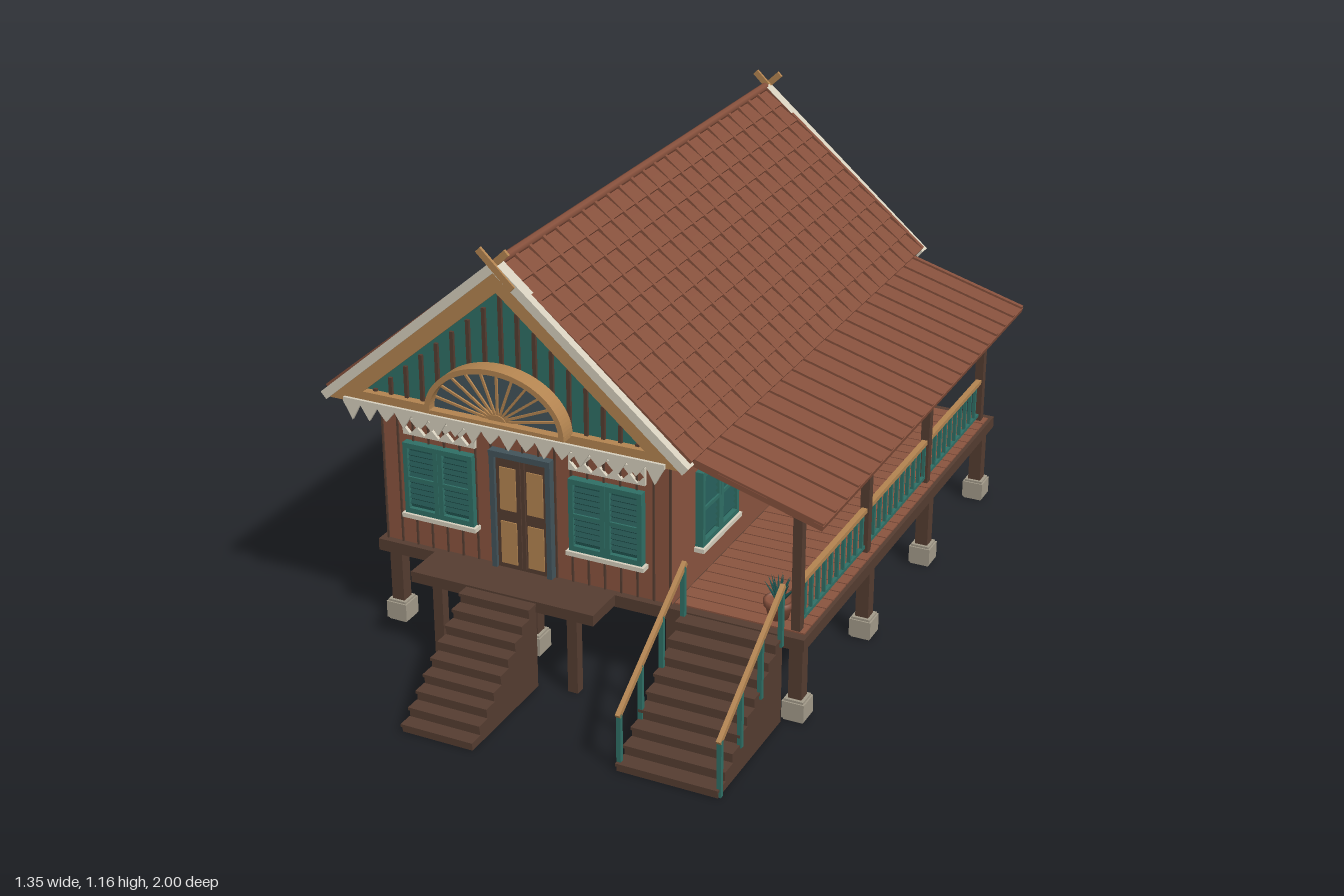
import * as THREE from 'three';

const mat = (name, color) => new THREE.MeshStandardMaterial({ name, color });
const M = {
  roof: mat('roof tile', 0x86503c), wall: mat('wall timber', 0x8a543f), dark: mat('dark wood', 0x553d31),
  tan: mat('honey wood', 0xb38450), teal: mat('teal paint', 0x2f6f66), deep: mat('deep teal', 0x1f524e),
  cream: mat('cream paint', 0xd6cfbd), stone: mat('stone', 0xa39b8a), slate: mat('slate', 0x42535a),
};
const CX = -0.16, ZC = -0.164, HW = 0.415, HL = 0.694; // house centre and half sizes
const FLOOR = 0.245;

function add(parent, name, geo, m, x = 0, y = 0, z = 0) {
  const mesh = new THREE.Mesh(geo, m);
  mesh.name = name;
  mesh.position.set(x, y, z);
  parent.add(mesh);
  return mesh;
}
// box by centre and size
const box = (p, name, m, x, y, z, w, h, d) => add(p, name, new THREE.BoxGeometry(w, h, d), m, x, y, z);
// box by limits
const span = (p, name, m, x0, x1, y0, y1, z0, z1) =>
  box(p, name, m, (x0 + x1) / 2, (y0 + y1) / 2, (z0 + z1) / 2, x1 - x0, y1 - y0, z1 - z0);
// square bar between two points of the parent's space
function bar(p, name, m, a, b, w, h) {
  const A = new THREE.Vector3(...a), B = new THREE.Vector3(...b);
  const mesh = add(p, name, new THREE.BoxGeometry(w, h, A.distanceTo(B)), m);
  mesh.position.copy(A).add(B).multiplyScalar(0.5);
  mesh.quaternion.setFromRotationMatrix(new THREE.Matrix4().lookAt(B, A, new THREE.Vector3(0, 1, 0)));
}
function group(parent, name, x = 0, y = 0, z = 0, ry = 0) {
  const g = new THREE.Group();
  g.name = name;
  g.position.set(x, y, z);
  g.rotation.y = ry;
  parent.add(g);
  return g;
}
const vecs = pts => pts.map(q => new THREE.Vector2(...q));
const poly = pts => new THREE.Shape(vecs(pts));
const extrude = (shape, depth) => new THREE.ExtrudeGeometry(shape, { depth, bevelEnabled: false, curveSegments: 24 });

// Louvred window on a wall facing local +z
function windowUnit(p, u, w = 0.205, y0 = 0.345, y1 = 0.545, lattice = false) {
  const g = group(p, 'window', u), mid = (y0 + y1) / 2, h = y1 - y0, lw = w / 2;
  box(g, 'shutterBacking', M.deep, 0, mid, 0.005, w - 0.01, h - 0.01, 0.01);
  for (const s of [-1, 1]) {
    const cx = s * lw / 2;
    for (const e of [-1, 1]) {
      box(g, 'shutterStile', M.teal, cx + e * (lw / 2 - 0.007), mid, 0.011, 0.013, h, 0.022);
      box(g, 'shutterRail', M.teal, cx, mid + e * (h / 2 - 0.007), 0.011, lw - 0.02, 0.014, 0.022);
    }
    box(g, 'shutterMidRail', M.teal, cx, mid, 0.011, lw - 0.02, 0.01, 0.022);
    for (let i = 0; i < 10; i++) {
      const slat = box(g, 'louvre', M.deep, cx, y0 + 0.022 + (i + 0.5) * (h - 0.044) / 10, 0.012, lw - 0.024, 0.013, 0.004);
      slat.rotation.x = -0.7;
    }
  }
  box(g, 'sill', M.cream, 0, y0 - 0.007, 0.014, w + 0.014, 0.012, 0.028);
  if (!lattice) return;
  // vent panel pierced with diamonds above the window
  const n = 5, pw = 0.212, panel = poly([[-pw / 2, 0.564], [pw / 2, 0.564], [pw / 2, 0.612], [-pw / 2, 0.612]]);
  for (let i = 0; i < n; i++) {
    const x = (i + 0.5 - n / 2) * pw / n;
    panel.holes.push(new THREE.Path(vecs([[x - 0.019, 0.588], [x, 0.608], [x + 0.019, 0.588], [x, 0.568]])));
  }
  add(g, 'ventPanel', extrude(panel, 0.01), M.cream);
}

// Two-leaf panelled door on a wall facing local +z
function doorUnit(p, u, h = 0.325) {
  const g = group(p, 'door', u, FLOOR);
  box(g, 'doorLeaves', M.dark, 0, h / 2, 0.006, 0.15, h, 0.012);
  for (const s of [-1, 1]) {
    box(g, 'doorJamb', M.slate, s * 0.08, h / 2, 0.011, 0.014, h, 0.022);
    box(g, 'doorStile', M.dark, s * 0.006, h / 2, 0.008, 0.01, h - 0.02, 0.018);
    for (const k of [0.23, 0.7]) box(g, 'doorPanel', M.tan, s * 0.039, h * k, 0.011, 0.046, h * 0.37, 0.008);
  }
  box(g, 'doorHead', M.slate, 0, h, 0.012, 0.175, 0.016, 0.024);
}

// Vertical cover strips on a gable-end wall
function wallBoards(p) {
  for (let i = 0; i <= 18; i++)
    box(p, 'wallBatten', M.dark, (i / 9 - 1) * (HW - 0.003), 0.46, 0.002, 0.005, 0.43, 0.005);
}

// Decorated gable facing local +z; z = 0 is the roof centre
function gable(p, ry) {
  const g = group(p, 'gable', CX, 0, ZC, ry);
  add(g, 'gablePanel', extrude(poly([[-0.45, 0.69], [0.45, 0.69], [0, 1.075]]), 0.015), M.teal, 0, 0, 0.765);
  for (let i = -8; i <= 8; i++) {
    const x = i * 0.046, top = 1.035 - Math.abs(x) * 0.86;
    span(g, 'gableBatten', M.dark, x - 0.005, x + 0.005, 0.7, top, 0.778, 0.788);
  }
  const frame = poly([[-0.5, 0.678], [0.5, 0.678], [0, 1.108]]);
  frame.holes.push(new THREE.Path(vecs([[-0.395, 0.712], [0, 1.048], [0.395, 0.712]])));
  add(g, 'bargeFrame', extrude(frame, 0.022), M.tan, 0, 0, 0.78);
  for (const s of [-1, 1]) {
    bar(g, 'bargeEdge', M.cream, [0, 1.118, 0.796], [s * 0.507, 0.684, 0.796], 0.034, 0.024);
    const z = 0.81 + s * 0.004;
    bar(g, 'crossFinial', M.tan, [-s * 0.037, 1.158, z], [s * 0.055, 1.07, z], 0.008, 0.018);
  }
  // fan light
  const half = (rx, ry2) => new THREE.Shape().absellipse(0, 0, rx, ry2, 0, Math.PI, false, 0);
  const fan = group(g, 'fanLight', 0, 0.712, 0.79);
  add(fan, 'fanGlass', extrude(half(0.185, 0.137), 0.02), M.slate);
  const ring = half(0.195, 0.147).absellipse(0, 0, 0.181, 0.133, Math.PI, 0, true, 0);
  add(fan, 'fanArch', extrude(ring, 0.046), M.tan);
  add(fan, 'fanHub', extrude(half(0.025, 0.02), 0.028), M.tan);
  box(fan, 'fanSill', M.tan, 0, 0, 0.022, 0.39, 0.01, 0.044);
  for (let i = 1; i < 12; i++) {
    const a = i * Math.PI / 12;
    bar(fan, 'fanSpoke', M.tan, [0, 0, 0.022], [0.184 * Math.cos(a), 0.136 * Math.sin(a), 0.022], 0.006, 0.006);
  }
  // carved fringe under the tie beam
  const pts = [[0.45, 0.69], [-0.45, 0.69]], n = 18, w = 0.9 / n;
  for (let i = 0; i < n; i++) {
    const x = -0.45 + i * w, tip = i === 0 || i === n - 1 ? 0.632 : (i % 2 ? 0.637 : 0.645);
    pts.push([x, 0.677], [x + w * 0.15, 0.665], [x + w / 2, tip], [x + w * 0.85, 0.665]);
  }
  pts.push([0.45, 0.677]);
  add(g, 'carvedFringe', extrude(poly(pts), 0.008), M.cream, 0, 0, 0.802);
}

// Tiled main roof
function mainRoof(p) {
  const L = 0.655, A = Math.atan2(0.432, 0.52), depth = 1.58, rows = 10, pitch = L / rows;
  for (const s of [-1, 1]) {
    const g = group(p, 'roofSlope', CX, 1.112, ZC);
    g.rotation.z = -s * A;
    box(g, 'roofBoard', M.roof, s * L / 2, -0.004, 0, L, 0.012, depth);
    for (let i = 0; i < rows; i++)
      box(g, 'tileCourse', M.roof, s * (i + 0.5) * pitch, 0.006, 0, pitch * 1.04, 0.008, depth).rotation.z = s * 0.11;
    for (let i = 0; i <= 23; i++)
      box(g, 'tileRoll', M.roof, s * L / 2, 0.009, (i / 23 - 0.5) * (depth - 0.012), L, 0.012, 0.012);
  }
  const cap = add(p, 'ridgeCap', new THREE.CylinderGeometry(0.012, 0.012, depth, 8), M.roof, CX, 1.122, ZC);
  cap.rotation.x = Math.PI / 2;
  span(p, 'atticFloor', M.dark, CX - 0.44, CX + 0.44, 0.676, 0.69, ZC - 0.77, ZC + 0.77);
}

// Solid flight of steps descending to +z
function stairs(p, x0, x1, z0, z1, n) {
  const g = group(p, 'stairs'), run = (z1 - z0) / n;
  for (let i = 0; i < n; i++) {
    const y = FLOOR * (n - i) / n - 0.004, z = z0 + i * run;
    span(g, 'stepBody', M.dark, x0 + 0.002, x1 - 0.002, 0, y - 0.007, z, z + run);
    span(g, 'stepTread', M.dark, x0, x1, y - 0.008, y, z, z + run + 0.005);
  }
}

// Balustrade along z
function railing(p, x, z0, z1) {
  const g = group(p, 'railing'), n = Math.round(Math.abs(z1 - z0) / 0.042);
  bar(g, 'topRail', M.tan, [x, 0.372, z0], [x, 0.372, z1], 0.016, 0.012);
  bar(g, 'bottomRail', M.teal, [x, 0.265, z0], [x, 0.265, z1], 0.01, 0.009);
  for (let i = 1; i < n; i++) box(g, 'baluster', M.teal, x, 0.318, z0 + (z1 - z0) * i / n, 0.009, 0.1, 0.009);
}

function verandah(p, rowsZ) {
  const g = group(p, 'verandah');
  for (let i = 0; i < 30; i++) // floor boards
    box(g, 'floorBoard', M.wall, 0.435, FLOOR + 0.001, ZC - 0.69 + (i + 0.5) * 0.046, 0.35, 0.006, 0.042);
  for (const z of rowsZ) box(g, 'verandahPost', M.dark, 0.585, 0.422, z, 0.024, 0.36, 0.024);
  railing(g, 0.585, rowsZ[0], rowsZ[3]);
  const r = group(g, 'leanToRoof', 0.466, 0.64, ZC);
  r.rotation.z = -Math.atan2(0.121, 0.415);
  box(r, 'leanToSheet', M.roof, 0, 0, 0, 0.434, 0.014, 1.5);
  for (let i = 0; i <= 20; i++) box(r, 'leanToRib', M.roof, 0, 0.009, (i / 20 - 0.5) * 1.485, 0.43, 0.008, 0.014);
  // potted plant
  const pot = group(g, 'pottedPlant', 0.52, FLOOR + 0.003, 0.475);
  const prof = [[0, 0], [0.026, 0], [0.034, 0.036], [0.039, 0.036], [0.039, 0.05], [0.032, 0.05], [0.03, 0.042], [0, 0.042]];
  add(pot, 'pot', new THREE.LatheGeometry(vecs(prof), 14), M.roof);
  for (let i = 0; i < 14; i++) {
    const a = i * 2.4, k = i / 13, r2 = 0.012 + 0.036 * k, h = 0.122 - 0.03 * k;
    const dir = new THREE.Vector3(r2 * Math.cos(a), h - 0.042, r2 * Math.sin(a));
    const leaf = add(pot, 'leaf', new THREE.ConeGeometry(0.007, dir.length(), 4), M.deep, dir.x / 2, 0.042 + dir.y / 2, dir.z / 2);
    leaf.quaternion.setFromUnitVectors(new THREE.Vector3(0, 1, 0), dir.normalize());
  }
}

export function createModel() {
  const root = new THREE.Group();
  root.name = 'stiltHouse';
  const rowsZ = [0.51, 0.062, -0.386, -0.835];

  // stilts on stone pads
  for (const x of [-0.555, -0.15, 0.255, 0.59]) for (const z of rowsZ) {
    box(root, 'stilt', M.dark, x, 0.135, z, 0.036, 0.16, 0.036);
    box(root, 'stonePad', M.stone, x, 0.03, z, 0.06, 0.048, 0.06);
    box(root, 'stonePadCore', M.stone, x, 0.03, z, 0.052, 0.06, 0.052);
  }
  span(root, 'deck', M.dark, -0.592, 0.62, 0.212, FLOOR, -0.878, 0.55);

  // house body with openings on each side
  box(root, 'walls', M.wall, CX, 0.46, ZC, HW * 2, 0.435, HL * 2);
  const front = group(root, 'frontWall', CX, 0, ZC + HL);
  const back = group(root, 'backWall', CX, 0, ZC - HL, Math.PI);
  const left = group(root, 'leftWall', CX + HW, 0, ZC, Math.PI / 2);
  const right = group(root, 'rightWall', CX - HW, 0, ZC, -Math.PI / 2);
  for (const w of [front, back]) {
    wallBoards(w);
    for (const s of [-1, 1]) windowUnit(w, s * 0.24, 0.205, 0.345, 0.545, true);
  }
  doorUnit(front, 0);
  windowUnit(back, 0, 0.13);
  for (const w of [left, right]) for (const s of [-1, 1]) windowUnit(w, s * 0.45, 0.22, 0.345, 0.553);
  doorUnit(left, 0, 0.305);
  windowUnit(right, 0, 0.22, 0.345, 0.553);

  mainRoof(root);
  gable(root, 0);
  gable(root, Math.PI);
  verandah(root, rowsZ);

  // front landing and steps
  span(root, 'frontLanding', M.dark, -0.42, 0.105, 0.216, FLOOR + 0.001, 0.54, 0.668);
  for (const x of [-0.352, 0.037]) box(root, 'landingPost', M.dark, x, 0.11, 0.64, 0.028, 0.22, 0.028);
  stairs(root, -0.257, -0.055, 0.665, 0.995, 9);

  // verandah steps with handrails
  stairs(root, 0.295, 0.565, 0.55, 0.92, 9);
  for (const x of [0.3, 0.563]) {
    bar(root, 'handrail', M.tan, [x, 0.15, 0.918], [x, 0.385, 0.55], 0.012, 0.014);
    for (const [z, y0] of [[0.91, 0], [0.795, 0.07], [0.68, 0.14], [0.56, 0.22]])
      span(root, 'handrailPost', M.teal, x - 0.006, x + 0.006, y0, 0.15 + (0.918 - z) * 0.638, z - 0.006, z + 0.006);
  }
  return root;
}
